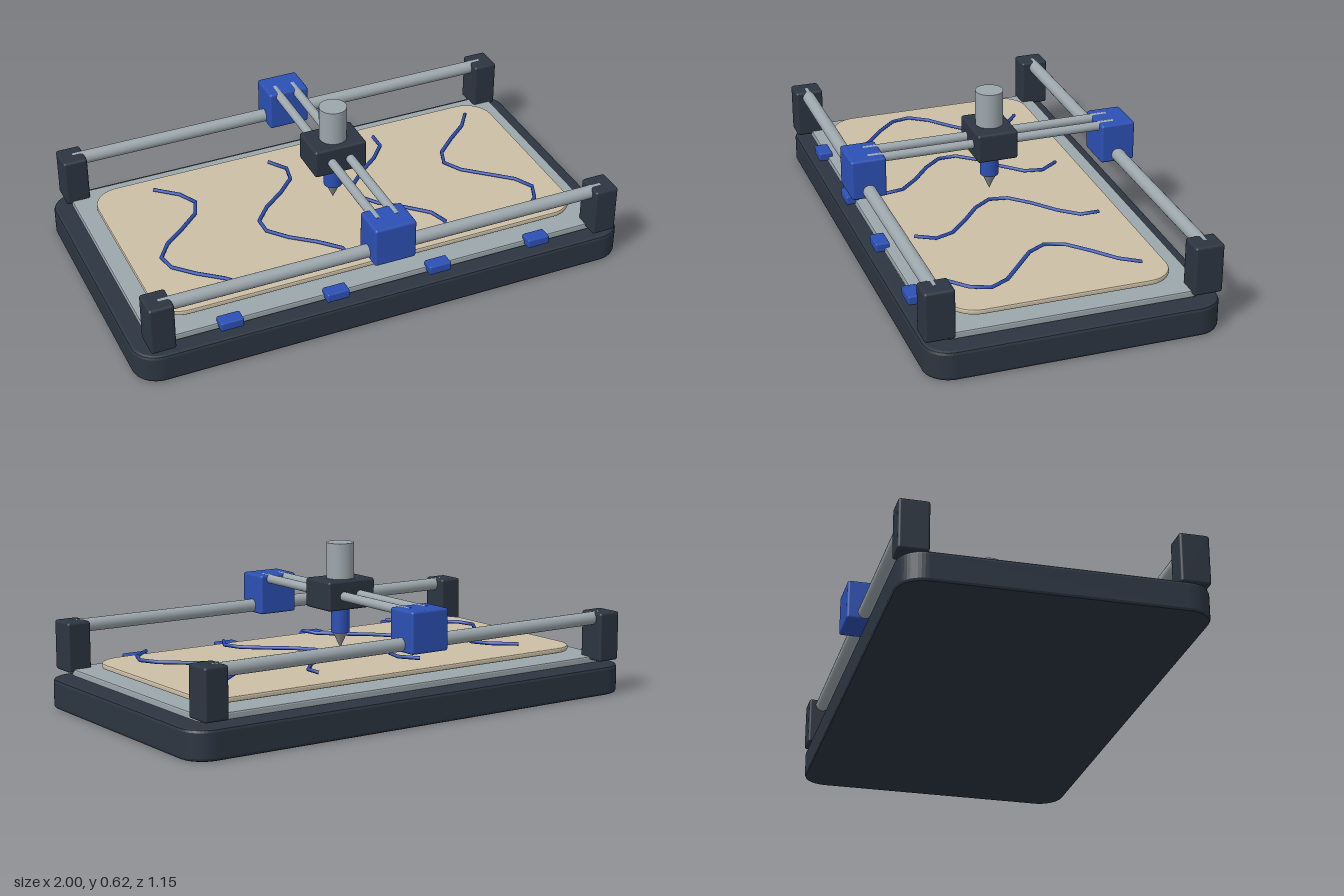
import * as THREE from 'three';
import { RoundedBoxGeometry } from 'three/addons/geometries/RoundedBoxGeometry.js';

const material = (name, color, side = THREE.FrontSide) => {
  const m = new THREE.MeshStandardMaterial({ color, side });
  m.name = name;
  return m;
};

// Wavy path whose samples stay at the corners of the polyline
class WaveCurve extends THREE.Curve {
  constructor(x, phase) {
    super();
    this.x = x;
    this.phase = phase;
  }
  getPoint(t, target = new THREE.Vector3()) {
    const x = this.x + 0.123 * Math.sin(this.phase + 7.5 * t);
    return target.set(x, 0.2, -0.33 + 0.725 * t);
  }
  getPointAt(t, target) {
    return this.getPoint(t, target);
  }
}

// Horizontal slab with rounded plan corners and bevelled edges
function slabGeometry(halfX, halfZ, y0, y1, radius, bevel) {
  const w = halfX - bevel, d = halfZ - bevel, r = radius - bevel;
  const s = new THREE.Shape();
  s.moveTo(-w + r, -d);
  s.lineTo(w - r, -d);
  s.absarc(w - r, -d + r, r, -Math.PI / 2, 0);
  s.lineTo(w, d - r);
  s.absarc(w - r, d - r, r, 0, Math.PI / 2);
  s.lineTo(-w + r, d);
  s.absarc(-w + r, d - r, r, Math.PI / 2, Math.PI);
  s.lineTo(-w, -d + r);
  s.absarc(-w + r, -d + r, r, Math.PI, Math.PI * 1.5);
  const g = new THREE.ExtrudeGeometry(s, {
    depth: y1 - y0 - 2 * bevel, bevelEnabled: true, bevelSize: bevel,
    bevelThickness: bevel, bevelSegments: 2, curveSegments: 6,
  });
  g.rotateX(-Math.PI / 2);
  g.translate(0, y0 + bevel, 0);
  return g;
}

export function createModel() {
  const model = new THREE.Group();
  model.name = 'gantryCutter';
  const dark = material('charcoal', 0x2c3541);
  const steel = material('steel', 0x9ca7ac);
  const wood = material('wood', 0xcdbfa6);
  const blue = material('blue', 0x2c50b4);
  const tip = material('toolGrey', 0x8b8f92);

  const add = (name, geometry, mat, x = 0, y = 0, z = 0) => {
    const mesh = new THREE.Mesh(geometry, mat);
    mesh.name = name;
    mesh.position.set(x, y, z);
    model.add(mesh);
    return mesh;
  };
  const block = (w, h, d, r = 0.01) => new RoundedBoxGeometry(w, h, d, 2, r);

  // Base, bed and workpiece
  add('base', slabGeometry(1, 0.56, 0, 0.115, 0.1, 0.012), dark);
  add('bed', slabGeometry(0.93, 0.5, 0.123, 0.151, 0.05, 0.006), steel);
  add('workpiece', slabGeometry(0.865, 0.425, 0.163, 0.184, 0.11, 0.006), wood);

  // Cut paths above the workpiece and clamps along the front
  [-0.63, -0.21, 0.21, 0.63].forEach((x, i) => {
    add('cutPath', new THREE.TubeGeometry(new WaveCurve(x, i * 0.6), 10, 0.0075, 6), blue);
    add('clamp', block(0.09, 0.036, 0.055, 0.006), blue, x, 0.152, 0.508);
  });

  // Posts, long rails and carriages on each side
  for (const side of [1, -1]) {
    const z = side * 0.507;
    for (const x of [-0.903, 0.903]) {
      add('post', block(0.097, 0.194, 0.113), dark, x, 0.235, side * 0.504);
    }
    const rail = add('longRail', new THREE.CylinderGeometry(0.026, 0.026, 1.8, 20), steel, 0, 0.307, z);
    rail.rotation.z = Math.PI / 2;
    add('carriage', block(0.167, 0.16, 0.138), blue, 0, 0.357, z);
  }

  // Paired cross rails
  for (const x of [-0.038, 0.038]) {
    const rail = add('crossRail', new THREE.CylinderGeometry(0.018, 0.018, 1, 20), steel, x, 0.421, 0);
    rail.rotation.x = Math.PI / 2;
  }

  // Tool head with motor, collar and cutting tip
  add('toolHead', block(0.215, 0.115, 0.162), dark, 0, 0.424, 0);
  add('motor', new THREE.CylinderGeometry(0.054, 0.054, 0.16, 28), steel, 0, 0.54, 0);
  add('collar', new THREE.CylinderGeometry(0.036, 0.036, 0.12, 24), blue, 0, 0.326, 0);
  add('cuttingTip', new THREE.ConeGeometry(0.029, 0.064, 24).rotateX(Math.PI), tip, 0, 0.235, 0);

  return model;
}
